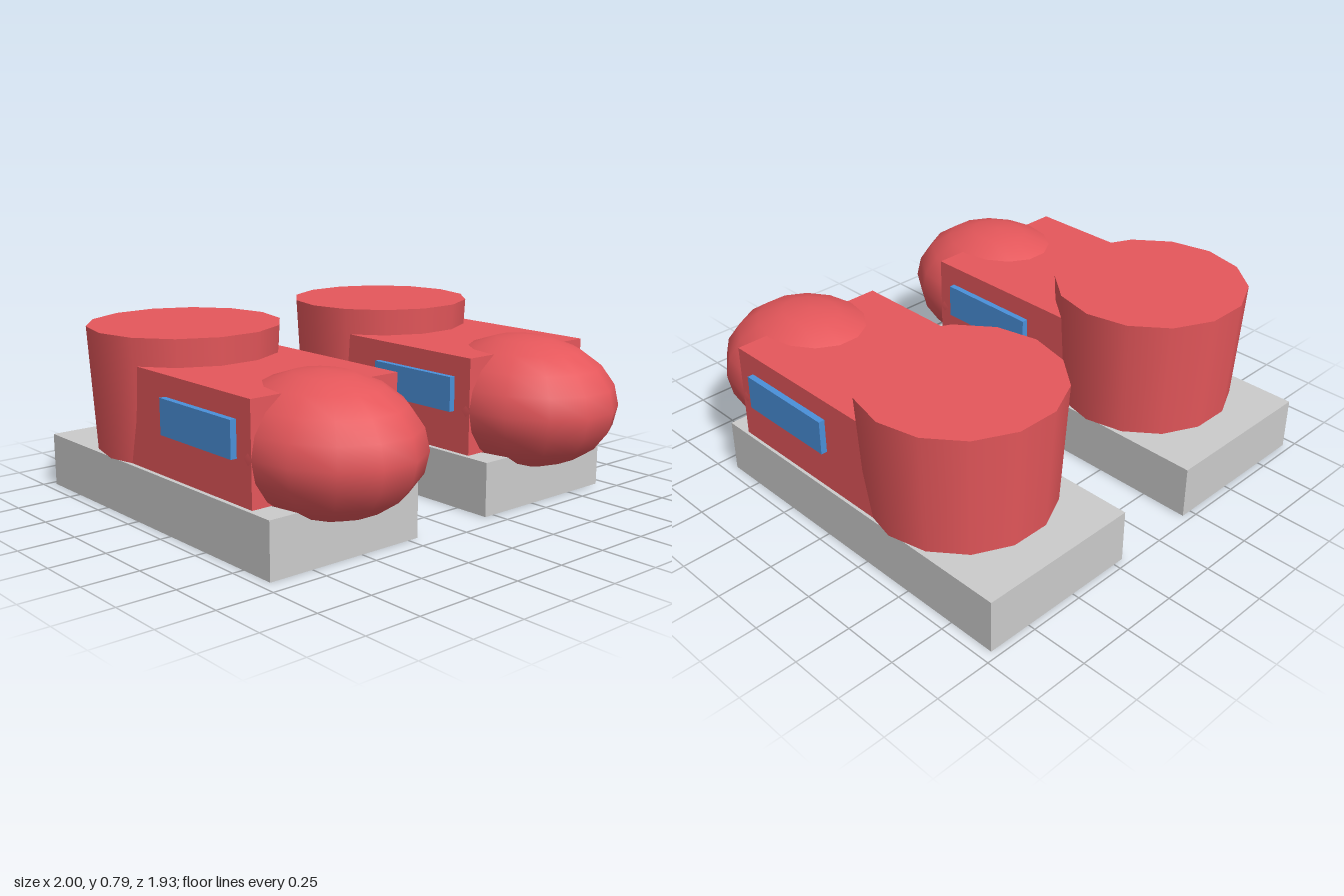
import * as THREE from 'three';

const red = new THREE.MeshStandardMaterial({ color: 0xe5575b });
const blue = new THREE.MeshStandardMaterial({ color: 0x4a90d9 });
const grey = new THREE.MeshStandardMaterial({ color: 0xcccccc });

function add(group, name, geometry, material, x, y, z) {
  const mesh = new THREE.Mesh(geometry, material);
  mesh.name = name;
  mesh.position.set(x, y, z);
  group.add(mesh);
  return mesh;
}

// One shoe, centred on its own x = 0
function createShoe(name) {
  const shoe = new THREE.Group();
  shoe.name = name;

  // Flat sole
  add(shoe, 'sole', new THREE.BoxGeometry(0.75, 0.24, 1.635), grey, 0, 0.12, -0.15);

  // Boxy upper, running back into the ankle cuff
  add(shoe, 'upper', new THREE.BoxGeometry(0.73, 0.425, 0.97), red, 0, 0.4575, 0.065);

  // Rounded toe cap
  const toe = new THREE.SphereGeometry(1, 14, 10).scale(0.37, 0.293, 0.445);
  add(shoe, 'toeCap', toe, red, 0, 0.437, 0.53);

  // Flared ankle cuff, with corners pointing sideways
  const cuff = new THREE.CylinderGeometry(0.424, 0.394, 0.545, 14).rotateY(Math.PI / 2);
  add(shoe, 'ankleCuff', cuff, red, 0, 0.5175, -0.42);

  // Side stripes
  for (const side of [-1, 1]) {
    add(shoe, side > 0 ? 'leftStripe' : 'rightStripe',
      new THREE.BoxGeometry(0.045, 0.153, 0.48), blue, side * 0.37, 0.503, 0.22);
  }
  return shoe;
}

export function createModel() {
  const model = new THREE.Group();
  model.name = 'pairOfShoes';
  for (const side of [-1, 1]) {
    const shoe = createShoe(side > 0 ? 'leftShoe' : 'rightShoe');
    shoe.position.x = side * 0.576;
    model.add(shoe);
  }
  return model;
}
